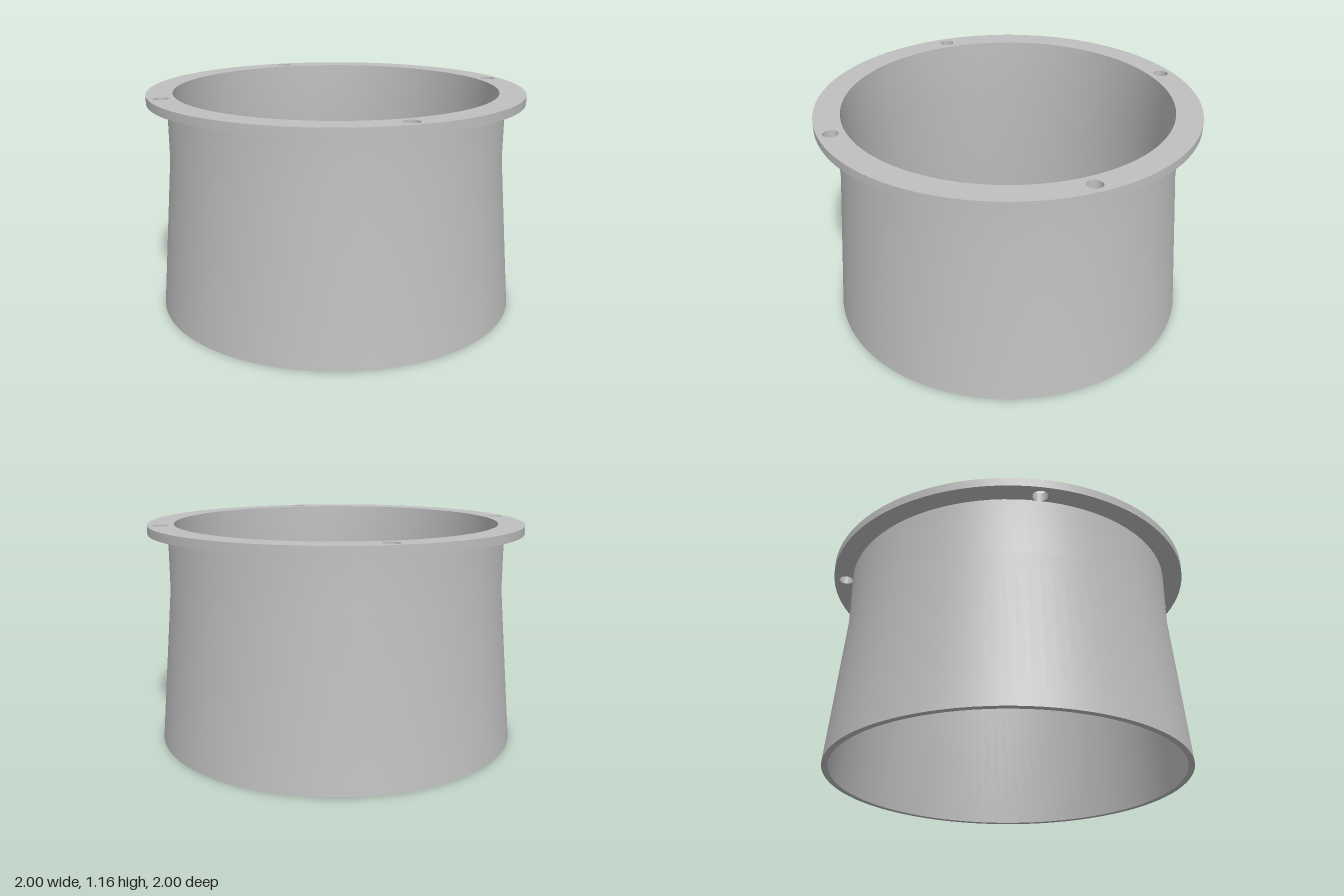
import * as THREE from 'three';
import { toCreasedNormals } from 'three/addons/utils/BufferGeometryUtils.js';

const SEGMENTS = 96;
const FLANGE_BOTTOM = 1.12;
const FLANGE_TOP = 1.165;
const INNER_RADIUS = 0.863;

function circle(PathType, x, y, radius, clockwise = false) {
  return new PathType().absarc(x, y, radius, 0, Math.PI * 2, clockwise);
}

export function createModel() {
  const group = new THREE.Group();
  group.name = 'flangedCollar';
  const metal = new THREE.MeshStandardMaterial({ color: 0xc0c0c0 });
  metal.name = 'grey metal';

  // Thin wall: straight neck above a flared skirt, inside down then outside up
  const profile = [
    [INNER_RADIUS, FLANGE_BOTTOM], [INNER_RADIUS, 0.82], [0.935, 0],
    [0.967, 0], [0.895, 0.82], [0.895, FLANGE_BOTTOM],
  ].map(([r, y]) => new THREE.Vector2(r, y));
  const wall = new THREE.Mesh(
    toCreasedNormals(new THREE.LatheGeometry(profile, SEGMENTS), 0.5), metal);
  wall.name = 'taperedWall';
  group.add(wall);

  // Flat ring with four bolt holes on the diagonals
  const ring = circle(THREE.Shape, 0, 0, 1);
  ring.holes.push(circle(THREE.Path, 0, 0, INNER_RADIUS, true));
  for (const x of [-0.66, 0.66]) {
    for (const z of [-0.66, 0.66]) {
      ring.holes.push(circle(THREE.Path, x, z, 0.039, true));
    }
  }
  const flangeGeometry = new THREE.ExtrudeGeometry(ring, {
    depth: FLANGE_TOP - FLANGE_BOTTOM, bevelEnabled: false, curveSegments: SEGMENTS / 2,
  });
  flangeGeometry.rotateX(-Math.PI / 2);
  flangeGeometry.translate(0, FLANGE_BOTTOM, 0);
  const flange = new THREE.Mesh(toCreasedNormals(flangeGeometry, 0.5), metal);
  flange.name = 'topFlange';
  group.add(flange);

  return group;
}
